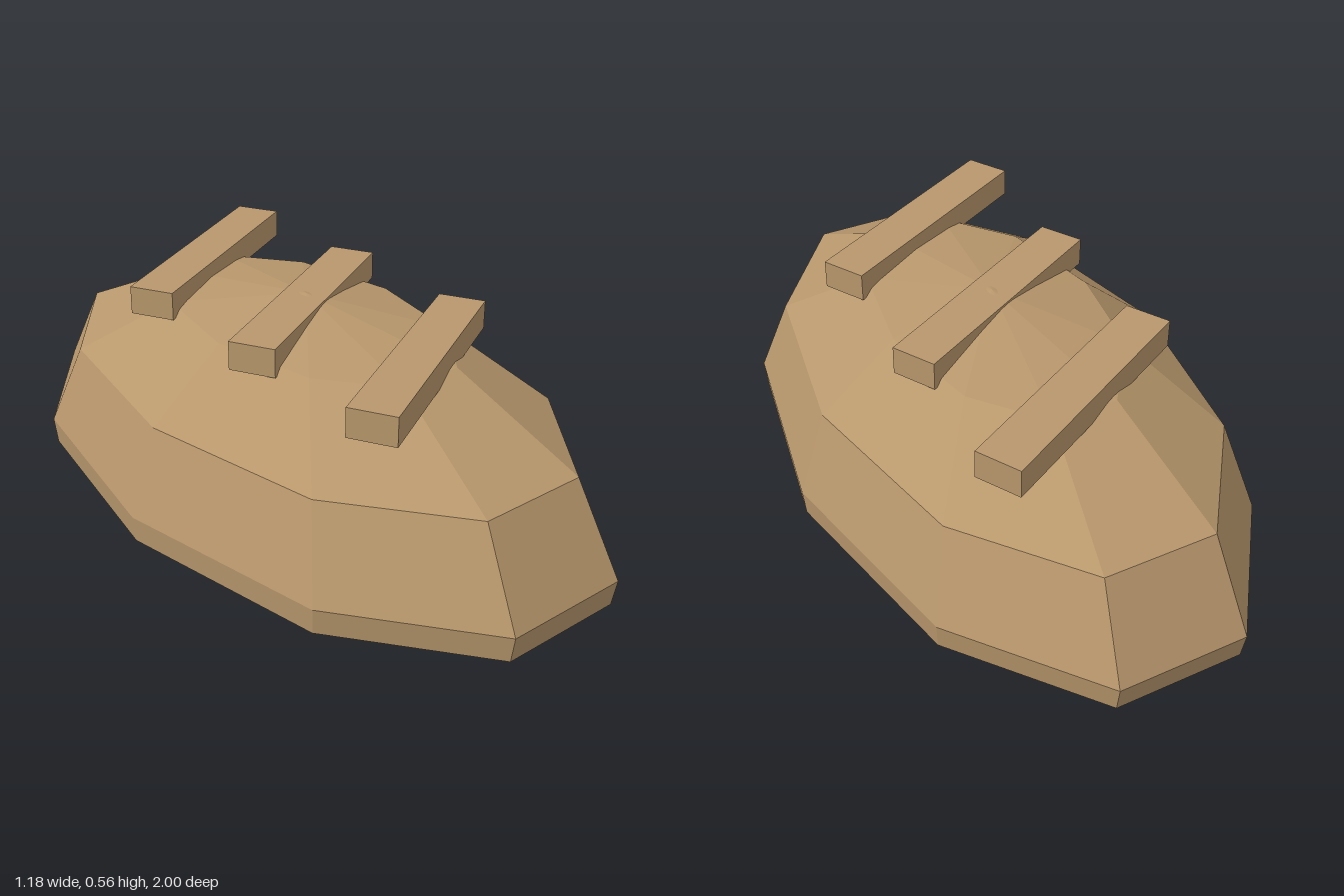
import * as THREE from 'three';

export function createModel() {
  const group = new THREE.Group();
  const crust = new THREE.MeshStandardMaterial({ color: 0xb8976c, flatShading: true });
  crust.name = 'crust';

  // Loaf: ten-sided dome on a short flared base, stretched along z
  const radiusX = 0.592, radiusZ = 1.0515, baseY = 0.075, rise = 0.49;
  const profile = [new THREE.Vector2(0, 0), new THREE.Vector2(0.988, 0)];
  for (let i = 0; i <= 3; i++) {
    const a = (i * Math.PI) / 6;
    profile.push(new THREE.Vector2(i === 3 ? 0 : Math.cos(a), baseY + rise * Math.sin(a)));
  }
  const loafGeometry = new THREE.LatheGeometry(profile, 10, Math.PI / 2);
  loafGeometry.scale(radiusX, 1, radiusZ);
  const loaf = new THREE.Mesh(loafGeometry, crust);
  loaf.name = 'loaf';
  group.add(loaf);

  // Three diagonal score ridges across the top
  const ridgeGeometry = new THREE.BoxGeometry(0.72, 0.08, 0.13);
  for (let i = -1; i <= 1; i++) {
    const ridge = new THREE.Mesh(ridgeGeometry, crust);
    ridge.name = 'scoreRidge' + (i + 2);
    ridge.position.set(0, 0.522, i * 0.46);
    ridge.rotation.y = 0.5;
    group.add(ridge);
  }
  return group;
}
